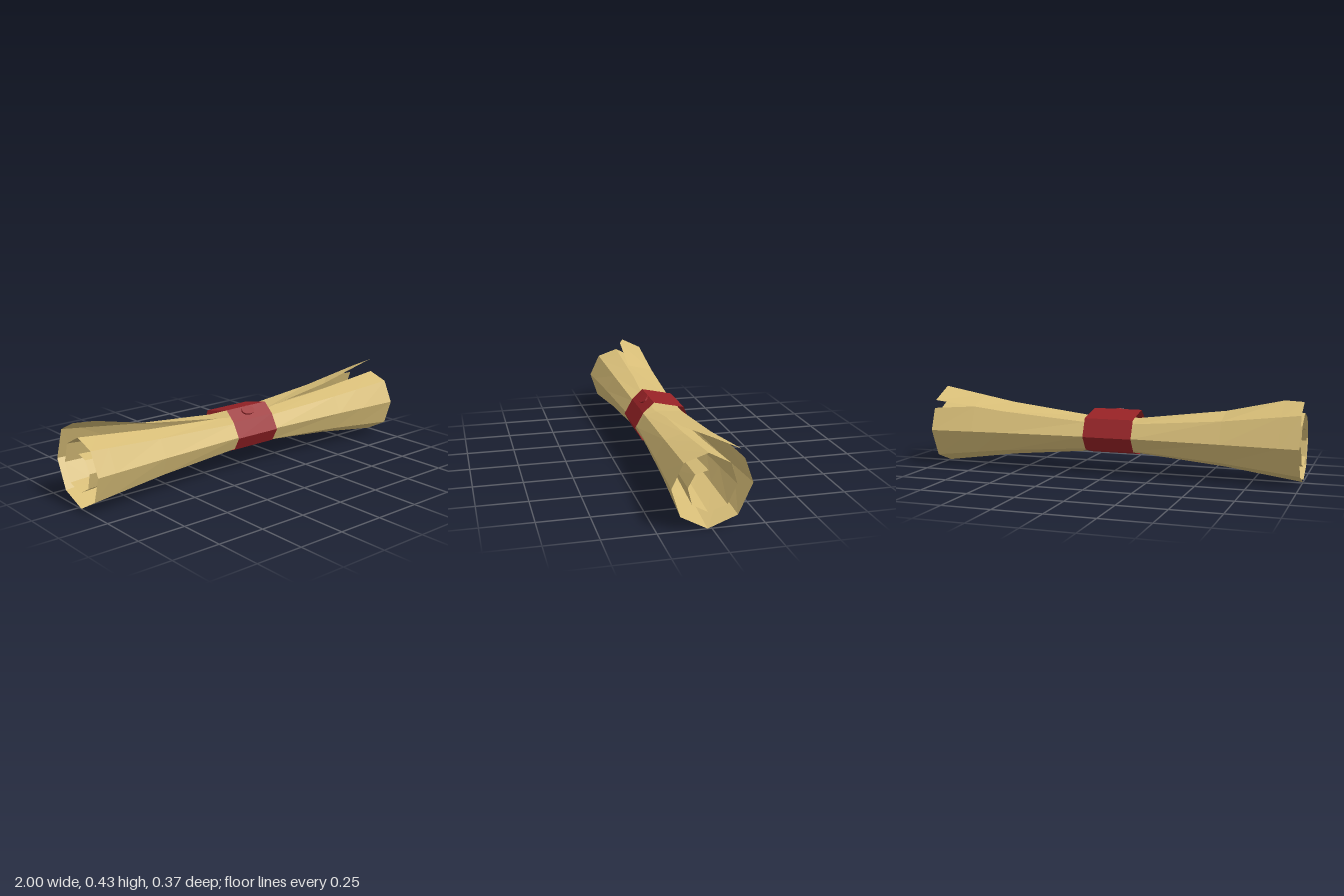
import * as THREE from 'three';

// Builds a flat shaded strip of quads between two rows of [x, y, z] points per panel
function panelGeometry(quads) {
  const pos = [];
  for (const [a, b, c, d] of quads) pos.push(...a, ...b, ...c, ...a, ...c, ...d);
  const g = new THREE.BufferGeometry();
  g.setAttribute('position', new THREE.Float32BufferAttribute(pos, 3));
  g.computeVertexNormals();
  return g;
}

export function createModel() {
  const model = new THREE.Group();
  const parchment = new THREE.MeshStandardMaterial({ color: 0xd8be78, side: THREE.DoubleSide, flatShading: true });
  parchment.name = 'parchment';
  const red = new THREE.MeshStandardMaterial({ color: 0x982226, side: THREE.DoubleSide, flatShading: true });
  red.name = 'red';

  // Creases of the rolled sheet, from the free outer edge inwards:
  // [z, y] at the flared ends, then [z, y] at the pinched middle
  const creases = [
    [0.007, 0.425, 0.045, 0.287],
    [-0.13, 0.36, -0.1, 0.273],
    [-0.187, 0.2, -0.138, 0.2],
    [-0.12, 0.053, -0.09, 0.13],
    [0.02, 0.0, 0.02, 0.1],
    [0.145, 0.068, 0.107, 0.132],
    [0.187, 0.2, 0.138, 0.2],
    [0.132, 0.317, 0.1, 0.266],
    [0.02, 0.355, 0.02, 0.282],
    [-0.083, 0.3, -0.067, 0.254],
    [-0.113, 0.2, -0.08, 0.2],
    [-0.07, 0.107, -0.05, 0.157],
    [0.02, 0.08, 0.018, 0.142],
    [0.093, 0.12, 0.065, 0.165],
    [0.113, 0.2, 0.083, 0.2],
    [0.08, 0.26, 0.06, 0.234],
    [0.02, 0.275, 0.02, 0.243],
  ];
  // Stations along the roll: [x, flare]
  const stations = [[-1, 1], [-0.9, 0.86], [-0.6, 0.44], [-0.13, 0], [0.13, 0], [0.6, 0.44], [0.77, 0.68], [1, 1]];
  const last = stations.length - 1;

  const point = (panel, crease, s) => {
    const [x, f] = stations[s];
    // Clipped corner of the free edge
    if (crease === 0 && s === 0) return [x, 0.415, -0.02];
    if (crease === 0 && s === 1) return [x, 0.415, 0.015];
    // Tears that open along a crease at each end
    if (panel === 1 && crease === 1 && s === last) return [x, 0.318, -0.145];
    if (panel === 4 && crease === 4 && s === 0) return [x, 0.009, 0.038];
    const [ze, ye, zc, yc] = creases[crease];
    return [x, yc + (ye - yc) * f, zc + (ze - zc) * f];
  };

  const quads = [];
  for (let p = 0; p < creases.length - 1; p++) {
    for (let s = 0; s < last; s++) {
      quads.push([point(p, p, s), point(p, p, s + 1), point(p, p + 1, s + 1), point(p, p + 1, s)]);
    }
  }
  const sheet = new THREE.Mesh(panelGeometry(quads), parchment);
  sheet.name = 'rolledSheet';
  model.add(sheet);

  // Band around the middle, as [z, y] corners
  const loop = [
    [0.05, 0.33], [-0.11, 0.295], [-0.15, 0.2], [-0.1, 0.125],
    [0.02, 0.095], [0.113, 0.13], [0.15, 0.2], [0.107, 0.277],
  ];
  const x0 = -0.135, x1 = 0.13;
  const bandQuads = loop.map(([z, y], i) => {
    const [z2, y2] = loop[(i + 1) % loop.length];
    return [[x0, y, z], [x1, y, z], [x1, y2, z2], [x0, y2, z2]];
  });
  const band = new THREE.Mesh(panelGeometry(bandQuads), red);
  band.name = 'band';
  model.add(band);

  // Oval wax seal on the sloping front of the band
  const seal = new THREE.Mesh(new THREE.CylinderGeometry(0.04, 0.04, 0.02, 16), red);
  seal.name = 'seal';
  seal.scale.z = 0.65;
  seal.rotation.x = 0.72;
  seal.position.set(-0.01, 0.309, 0.069);
  model.add(seal);

  return model;
}
